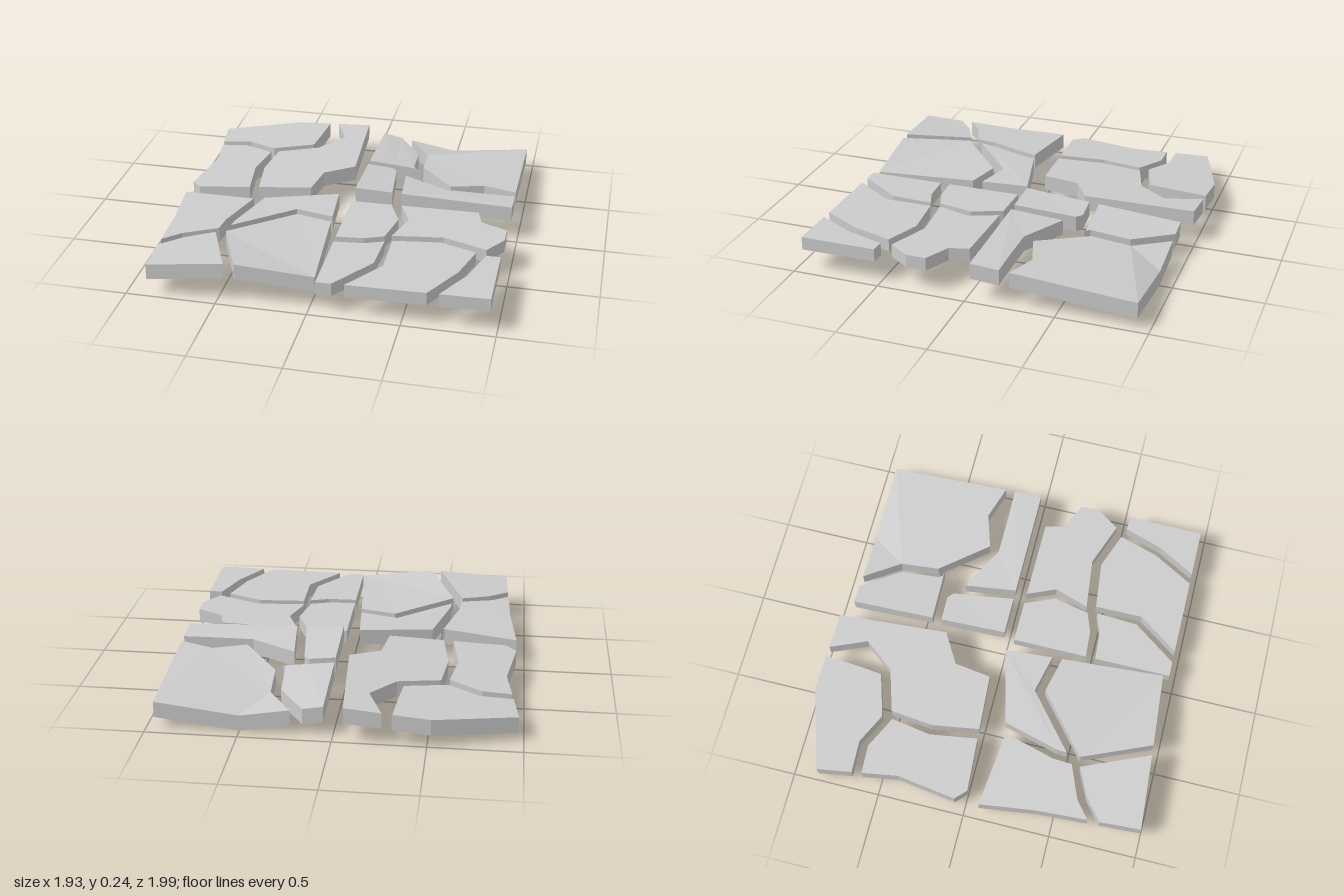
import * as THREE from 'three';

const { clamp, lerp } = THREE.MathUtils;
const stone = new THREE.MeshStandardMaterial({ color: 0xcccccc, flatShading: true });

const toPoint = ([x, z]) => new THREE.Vector2(x, z);
const direction = (a, b) => b.clone().sub(a).normalize();
// Normal pointing into a piece whose outline runs clockwise seen from above
const inward = (d) => new THREE.Vector2(-d.y, d.x);

// Edge of an outline closest to a point, with the position t along it
function nearestEdge(outline, p) {
  let best = { distance: Infinity };
  outline.forEach((a, i) => {
    const line = outline[(i + 1) % outline.length].clone().sub(a);
    const t = clamp(p.clone().sub(a).dot(line) / line.lengthSq(), 0, 1);
    const distance = a.clone().addScaledVector(line, t).distanceTo(p);
    if (distance < best.distance) best = { i, a, line, t, distance };
  });
  return best;
}

// Where one lip of a crack meets an outline edge, half a gap from its centre
function lipEnd(edge, end, next, side) {
  const shift = end.gap / 2 / Math.abs(direction(end.p, next.p).cross(edge.line));
  return edge.a.clone().addScaledVector(edge.line, clamp(edge.t + side * shift, 0.01, 0.99));
}

// Part of an outline between two edges, closed by the crack path set back by half its gap
function brokenPart(outline, from, to, path) {
  const last = path.length - 1;
  const part = [lipEnd(from, path[last], path[last - 1], 1)];
  for (let k = from.i; k !== to.i;) {
    k = (k + 1) % outline.length;
    part.push(outline[k]);
  }
  part.push(lipEnd(to, path[0], path[1], -1));
  for (let j = 1; j < last; j++) {
    const n1 = inward(direction(path[j - 1].p, path[j].p));
    const n2 = inward(direction(path[j].p, path[j + 1].p));
    const mitre = path[j].gap / 2 / (1 + n1.dot(n2));
    part.push(path[j].p.clone().addScaledVector(n1.add(n2), mitre));
  }
  return part;
}

// Break the piece that a crack (x, z, optional gap) runs across
function breakPieces(pieces, crack) {
  const path = crack.map(([x, z, gap = 0.055]) => ({ p: new THREE.Vector2(x, z), gap }));
  const hits = pieces.map((outline) => {
    const start = nearestEdge(outline, path[0].p);
    const end = nearestEdge(outline, path[path.length - 1].p);
    return { outline, start, end, distance: start.distance + end.distance };
  });
  const { outline, start, end } = hits.reduce((a, b) => (b.distance < a.distance ? b : a));
  return [
    ...pieces.filter((piece) => piece !== outline),
    brokenPart(outline, start, end, [...path].reverse()),
    brokenPart(outline, end, start, path),
  ];
}

// Extrude an outline upwards, then lift every vertex onto the slab's height rule
function pieceGeometry(outline, thickness, height) {
  const shape = new THREE.Shape(outline.map((p) => new THREE.Vector2(p.x, -p.y)));
  const geometry = new THREE.ExtrudeGeometry(shape, { depth: thickness, bevelEnabled: false });
  geometry.rotateX(-Math.PI / 2);
  const p = geometry.attributes.position;
  for (let i = 0; i < p.count; i++) {
    p.setY(i, p.getY(i) - thickness + height(p.getX(i), p.getZ(i)));
  }
  geometry.computeVertexNormals();
  return geometry;
}

function crackedSlab(name, thickness, height, outline, cracks) {
  const slab = new THREE.Group();
  slab.name = name;
  cracks.reduce(breakPieces, [outline.map(toPoint)]).forEach((piece, i) => {
    const mesh = new THREE.Mesh(pieceGeometry(piece, thickness, height), stone);
    mesh.name = `${name}Piece${i + 1}`;
    slab.add(mesh);
  });
  return slab;
}

export function createModel() {
  const model = new THREE.Group();
  model.name = 'crackedPaving';

  model.add(crackedSlab('backRightSlab', 0.09,
    (x, z) => 0.215 + 0.07 * x + 0.02 * z,
    [[-.97, -.86], [-.52, -1], [-.06, -.98], [-.02, -.35], [-.19, -.25], [-.22, -.04], [-.89, 0], [-.95, -.06], [-.9, -.4]],
    [
      [[-.935, -.635], [-.765, -.64], [-.59, -.55], [-.33, -.63], [-.255, -.79, .15], [-.29, -.99]],
      [[-.575, -.53], [-.6, -.29], [-.56, -.02]],
    ]));

  // Sags along the back edge
  model.add(crackedSlab('backLeftSlab', 0.09,
    (x, z) => lerp(0.24 - 0.03 * x, 0.17 - 0.025 * x - 0.0675 * (1 - Math.abs(x - 0.5) / 0.46), -z / 0.93),
    [[.05, -.93], [.5, -.93], [.96, -.93], [.96, -.02], [.05, -.02]],
    [
      [[.195, -.93], [.335, -.72], [.345, -.495], [.565, -.21], [.77, -.24, .12], [.96, -.21]],
      [[.05, -.425], [.2, -.43], [.33, -.39, .16], [.45, -.315, .13]],
      [[.285, -.355, .08], [.295, -.02]],
    ]));

  // Arches up along the front edge
  model.add(crackedSlab('frontRightSlab', 0.09,
    (x, z) => lerp(0.205 + 0.058 * x, 0.187 + 0.045 * (1 - Math.abs(x + 0.43) / 0.46), z / 0.96),
    [[-.95, .08], [-.53, .13], [-.04, .01], [.03, .925], [-.88, .99], [-.91, .4]],
    [
      [[-.49, .12], [-.575, .43], [-.585, .58], [-.43, .96]],
      [[-.905, .725], [-.785, .635], [-.61, .565]],
      [[-.005, .31], [-.23, .26], [-.55, .53]],
    ]));

  model.add(crackedSlab('frontLeftSlab', 0.075,
    (x) => 0.18 + 0.018 * x,
    [[.04, .04], [.78, .05], [.81, .16], [.96, .23], [.96, .96], [.04, .96]],
    [
      [[.04, .495], [.2, .485], [.35, .43], [.625, .4], [.88, .495], [.96, .435, .15]],
      [[.305, .045], [.375, .21], [.335, .405]],
      [[.345, .465], [.33, .72], [.16, .96]],
      [[.865, .51, .08], [.785, .735], [.66, .96]],
    ]));

  return model;
}
